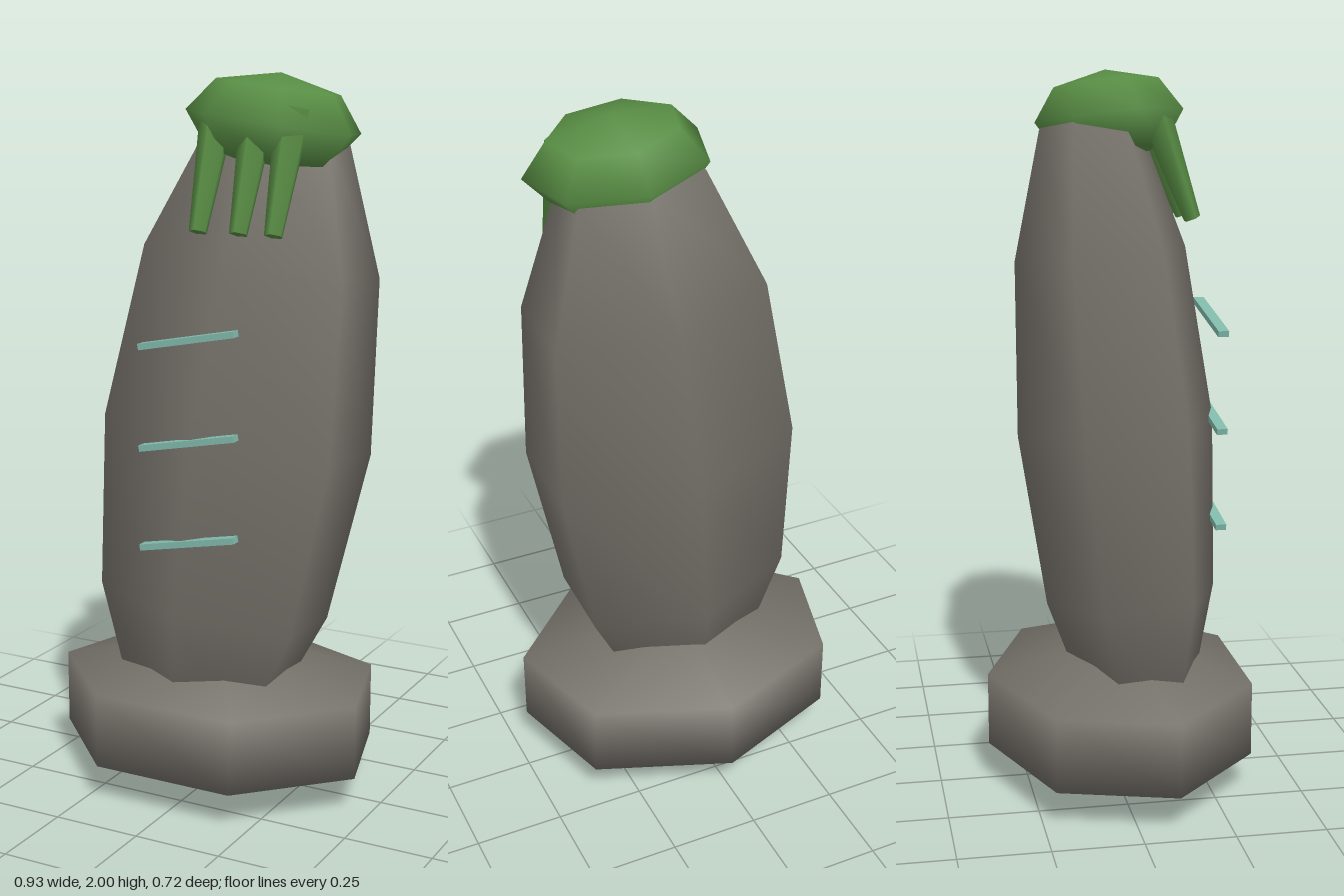
import * as THREE from 'three';

const mat = (name, color) => Object.assign(new THREE.MeshStandardMaterial({ color }), { name });

// Low-sided ellipsoid with a corner pointing to the back
function faceted(name, material, sides, rings, radii, pos, tilt = [0, 0, 0]) {
  const geo = new THREE.SphereGeometry(1, sides, rings);
  geo.rotateY(-Math.PI / 2);
  geo.scale(...radii);
  const mesh = new THREE.Mesh(geo, material);
  mesh.name = name;
  mesh.position.set(...pos);
  mesh.rotation.set(...tilt);
  return mesh;
}

export function createModel() {
  const model = new THREE.Group();
  model.name = 'mossyStandingStone';
  const stone = mat('stone grey', 0x75716a);
  const moss = mat('moss green', 0x588d44);
  const teal = mat('pale teal', 0x80b9aa);
  const lean = [-0.07, 0, -0.115];

  // Foot stone, leaning pillar and moss cap
  model.add(faceted('footStone', stone, 7, 3, [0.548, 0.21, 0.439], [0, 0.21, 0.02]));
  model.add(faceted('pillar', stone, 6, 6, [0.4, 0.97, 0.28], [0.055, 1.015, 0.02], lean));
  model.add(faceted('mossCap', moss, 7, 4, [0.25, 0.13, 0.21], [0.163, 1.87, 0.02], lean));

  // Hanging moss strands
  const strandGeo = new THREE.CylinderGeometry(0.05, 0.025, 0.33, 5);
  [0.05, 0.168, 0.268].forEach((x) => {
    const strand = new THREE.Mesh(strandGeo, moss);
    strand.name = 'mossStrand';
    strand.position.set(x, 1.75, 0.175);
    strand.rotation.x = -0.36;
    model.add(strand);
  });

  // Slanted carved bars on the front
  const barGeo = new THREE.BoxGeometry(0.285, 0.017, 0.03);
  [0.77, 1.045, 1.32].forEach((y) => {
    const bar = new THREE.Mesh(barGeo, teal);
    bar.name = 'runeBar';
    bar.position.set(0.048, y, 0.29);
    bar.rotation.set(0, 0.03, 0.19);
    model.add(bar);
  });

  return model;
}
